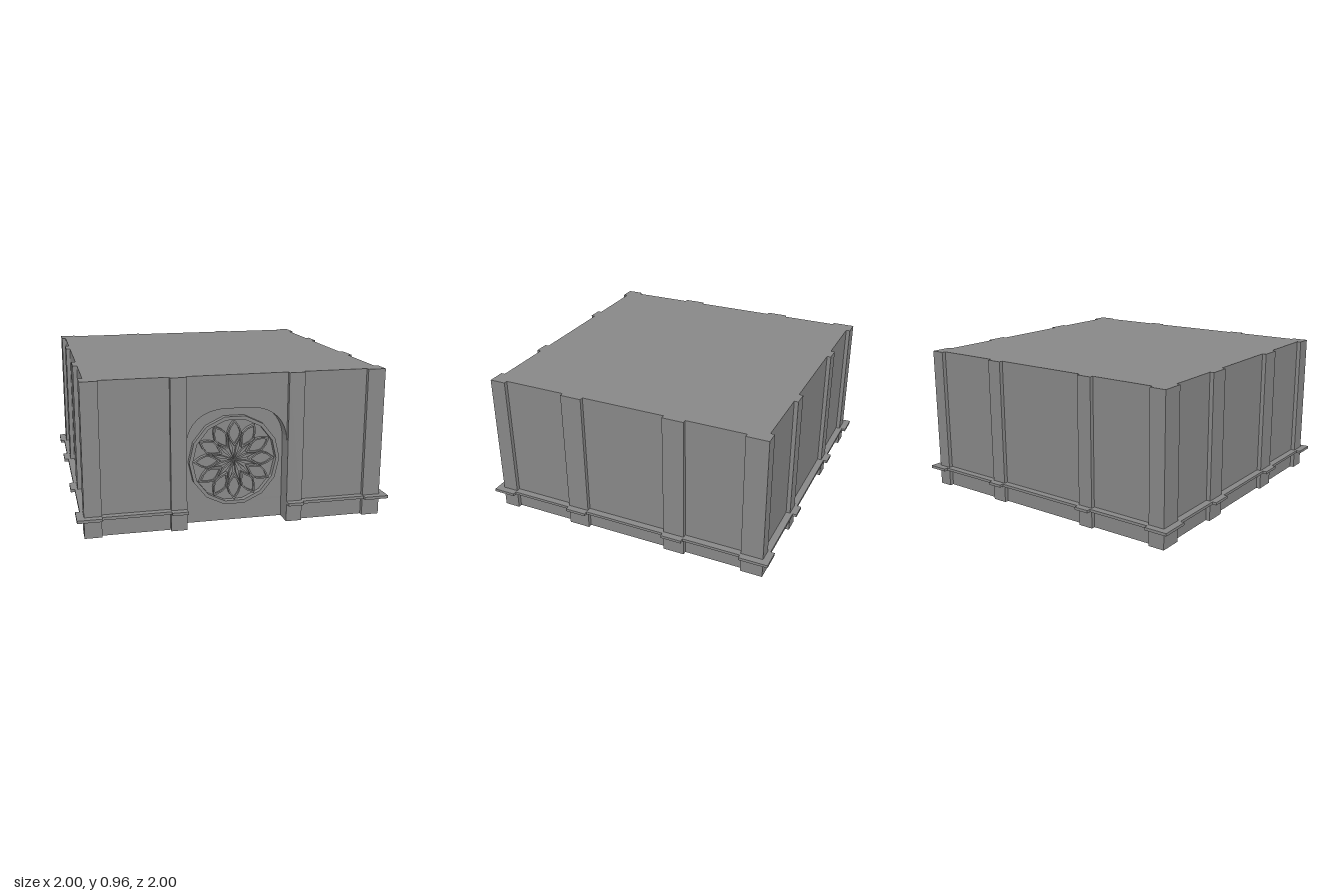
import * as THREE from 'three';

const HEIGHT = 0.965, PILASTER = 0.955, WALL = 0.928;
const NICHE_HALF = 0.322, NICHE_BACK = 0.84;
const ROSE_Y = 0.405;

const material = new THREE.MeshStandardMaterial({ color: 0x888888, flatShading: true });

function addMesh(parent, name, geometry) {
  const mesh = new THREE.Mesh(geometry, material);
  mesh.name = name;
  parent.add(mesh);
  return mesh;
}

const extrude = (shape, depth) =>
  new THREE.ExtrudeGeometry(shape, { depth, bevelEnabled: false, curveSegments: 12 });

// Plan outline with pilasters, pushed outward by "outset", raised from y0 to y1
function planSlab(outset, y0, y1) {
  const p = PILASTER + outset, w = WALL + outset;
  const points = [];
  // Walk one side, switching between pilaster and wall depth at every step
  const side = (steps, place) => {
    points.push(place(steps.start, p));
    let depth = p;
    for (const step of steps.at) {
      points.push(place(step, depth));
      depth = depth === p ? w : p;
      points.push(place(step, depth));
    }
  };
  const v = (x, z) => new THREE.Vector2(x, -z);
  const front = (t, d) => v(t, d);
  side({ start: -p, at: [-0.848, -0.422] }, front);
  points.push(v(-NICHE_HALF, p), v(-NICHE_HALF, NICHE_BACK), v(NICHE_HALF, NICHE_BACK));
  side({ start: NICHE_HALF, at: [0.423, 0.84] }, front);
  side({ start: p, at: [0.848, 0.425, 0.28, -0.28, -0.422, -0.81] }, (t, d) => v(d, t));
  side({ start: p, at: [0.865, 0.423, 0.322, -0.322, -0.422, -0.848] }, (t, d) => v(t, -d));
  side({ start: -p, at: [-0.805, -0.425, -0.28, 0.28, 0.425, 0.845] }, (t, d) => v(-d, t));
  const geometry = extrude(new THREE.Shape(points), y1 - y0);
  geometry.rotateX(-Math.PI / 2);
  geometry.translate(0, y0, 0);
  return geometry;
}

// Wall above the niche, cut by a flattened arch
function archGeometry() {
  const h = NICHE_HALF, spring = 0.52, crown = 0.755, flat = 0.07;
  const shape = new THREE.Shape();
  shape.moveTo(-h, HEIGHT);
  shape.lineTo(-h, spring);
  shape.bezierCurveTo(-h, spring + 0.14, -0.23, crown, -flat, crown);
  shape.lineTo(flat, crown);
  shape.bezierCurveTo(0.23, crown, h, spring + 0.14, h, spring);
  shape.lineTo(h, HEIGHT);
  return extrude(shape, WALL - NICHE_BACK);
}

function polygon(radius, sides) {
  return Array.from({ length: sides }, (_, i) => {
    const a = (i / sides) * Math.PI * 2;
    return new THREE.Vector2(radius * Math.cos(a), radius * Math.sin(a));
  });
}

// Pointed petal outline, shrunk about its middle by "scale"
function petalPoints(scale) {
  const half = [[0, 0.09], [0.033, 0.14], [0.045, 0.178], [0.03, 0.22], [0, 0.262]];
  const mirrored = half.slice(1, -1).reverse().map(([x, y]) => [-x, y]);
  return [...half, ...mirrored].map(([x, y]) =>
    new THREE.Vector2(x * scale, 0.178 + (y - 0.178) * scale));
}

function createRosette() {
  const rosette = new THREE.Group();
  rosette.name = 'rosette';

  // Fourteen-sided frame
  const ring = new THREE.Shape(polygon(0.2925, 14));
  ring.holes.push(new THREE.Path(polygon(0.27, 14)));
  addMesh(rosette, 'rosetteFrame', extrude(ring, 0.038));

  // Petal rims and slim rays between them
  const rim = new THREE.Shape(petalPoints(1));
  rim.holes.push(new THREE.Path(petalPoints(0.8)));
  const rimGeometry = extrude(rim, 0.03);
  const panelGeometry = extrude(new THREE.Shape(petalPoints(0.8)), 0.015);
  const rayGeometry = extrude(new THREE.Shape([
    new THREE.Vector2(0, 0), new THREE.Vector2(0.01, 0.085),
    new THREE.Vector2(0, 0.15), new THREE.Vector2(-0.01, 0.085),
  ]), 0.022);
  for (let i = 0; i < 12; i++) {
    const angle = (i * Math.PI) / 6;
    addMesh(rosette, 'petalRim', rimGeometry).rotation.z = angle;
    addMesh(rosette, 'petalPanel', panelGeometry).rotation.z = angle;
    addMesh(rosette, 'ray', rayGeometry).rotation.z = angle + Math.PI / 12;
  }
  rosette.position.set(0, ROSE_Y, NICHE_BACK);
  return rosette;
}

export function createModel() {
  const model = new THREE.Group();
  model.name = 'building';
  addMesh(model, 'wallsAndPilasters', planSlab(0, 0, HEIGHT));
  addMesh(model, 'baseLedge', planSlab(0.045, 0.117, 0.135));
  addMesh(model, 'nicheArch', archGeometry()).position.z = NICHE_BACK;
  model.add(createRosette());
  return model;
}
